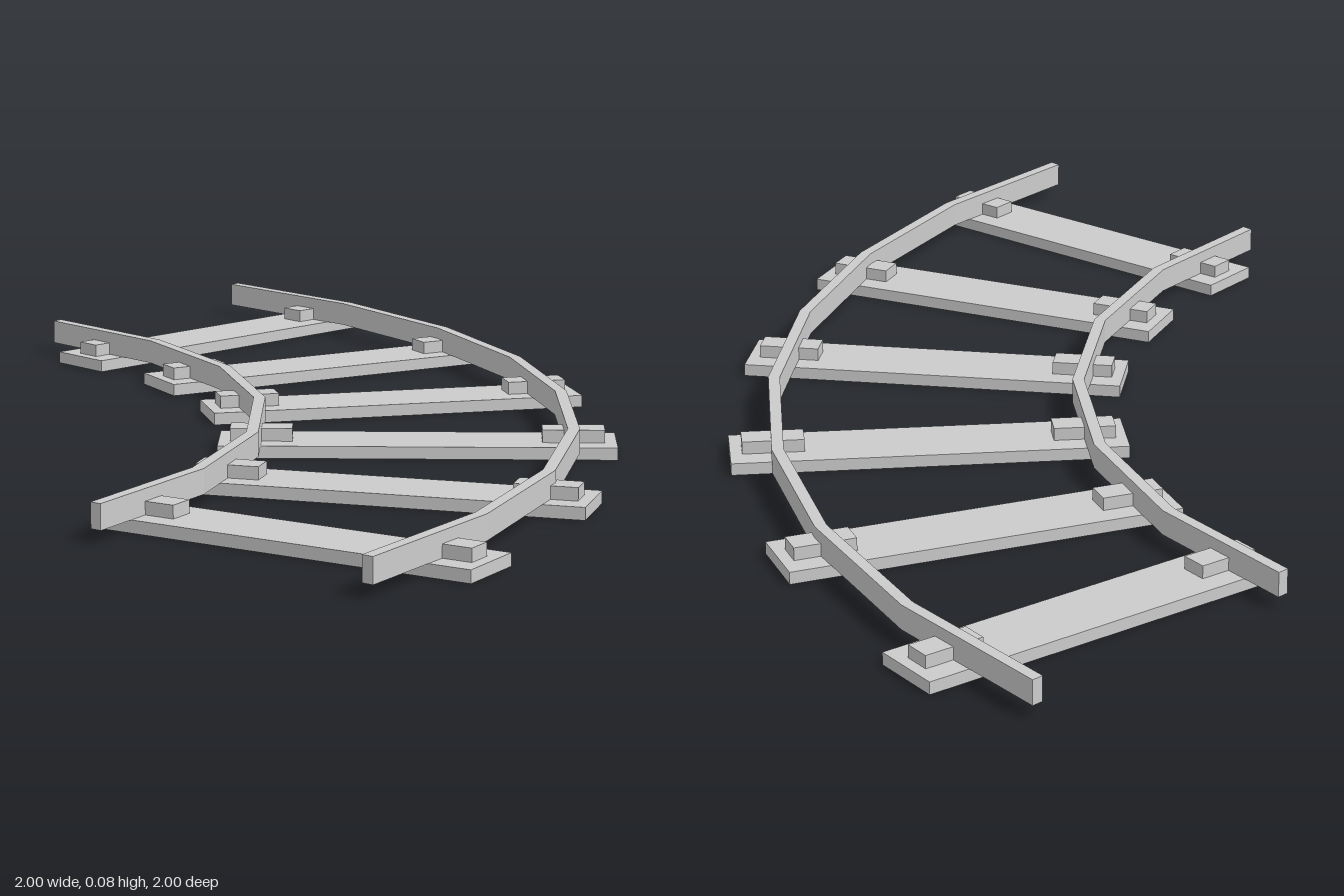
import * as THREE from 'three';

const material = new THREE.MeshStandardMaterial({ color: 0xcccccc, flatShading: true });

// The quarter curve turns about (-1, 1); angles run from the back end to the right end.
const CENTER = { x: -1, z: 1 };
const INNER_RADIUS = 1.296, OUTER_RADIUS = 1.921;
const TIE_COUNT = 6, TIE_HEIGHT = 0.025;

// Faceted rail: a strip between two concentric polylines, extruded upwards
function makeRail(name, radius, segments, width = 0.024, height = 0.05) {
  const arc = (r) => Array.from({ length: segments + 1 }, (_, i) => {
    const a = (i / segments) * Math.PI / 2;
    return new THREE.Vector2(CENTER.x + r * Math.sin(a), -CENTER.z + r * Math.cos(a));
  });
  const outline = [...arc(radius + width / 2), ...arc(radius - width / 2).reverse()];
  const geometry = new THREE.ExtrudeGeometry(new THREE.Shape(outline), { depth: height, bevelEnabled: false });
  geometry.rotateX(-Math.PI / 2);
  const rail = new THREE.Mesh(geometry, material);
  rail.name = name;
  rail.position.y = TIE_HEIGHT;
  return rail;
}

// Box lying along the radial direction, at a distance from the turning centre
function radialBox(name, width, height, length, radius, y) {
  const mesh = new THREE.Mesh(new THREE.BoxGeometry(width, height, length), material);
  mesh.name = name;
  mesh.position.set(0, y + height / 2, -radius);
  return mesh;
}

export function createModel() {
  const model = new THREE.Group();
  model.name = 'curvedTrack';

  model.add(makeRail('innerRail', INNER_RADIUS, 6));
  model.add(makeRail('outerRail', OUTER_RADIUS, 8));

  // Ties with a rail clip near each end
  for (let i = 0; i < TIE_COUNT; i++) {
    const tie = new THREE.Group();
    tie.name = `tie${i + 1}`;
    tie.position.set(CENTER.x, 0, CENTER.z);
    tie.rotation.y = -((i + 0.5) / TIE_COUNT) * Math.PI / 2;
    tie.add(radialBox('tieBoard', 0.146, TIE_HEIGHT, 0.797, 1.609, 0));
    tie.add(radialBox('innerClip', 0.054, 0.026, 0.125, INNER_RADIUS, TIE_HEIGHT));
    tie.add(radialBox('outerClip', 0.054, 0.026, 0.125, OUTER_RADIUS, TIE_HEIGHT));
    model.add(tie);
  }
  return model;
}
